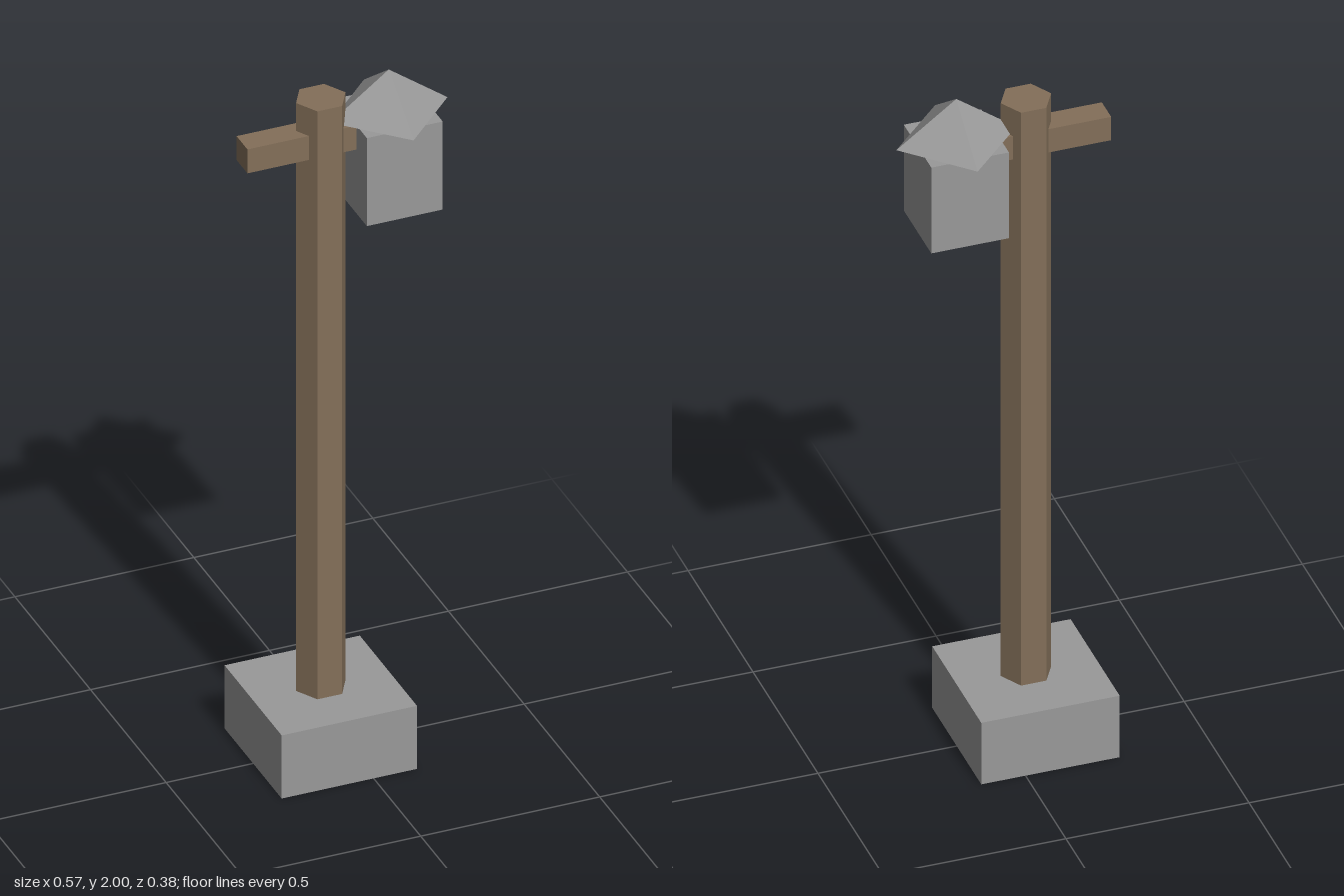
import * as THREE from 'three';

export function createModel() {
  const group = new THREE.Group();
  const stone = new THREE.MeshStandardMaterial({ color: 0x999999, flatShading: true });
  stone.name = 'stone grey';
  const wood = new THREE.MeshStandardMaterial({ color: 0x836f59, flatShading: true });
  wood.name = 'wood brown';

  const add = (name, geometry, material, x, y) => {
    const mesh = new THREE.Mesh(geometry, material);
    mesh.name = name;
    mesh.position.set(x, y, 0);
    group.add(mesh);
    return mesh;
  };

  const postX = -0.068;
  const lanternX = 0.122;

  // square foot block
  add('base', new THREE.BoxGeometry(0.378, 0.19, 0.378), stone, postX, 0.095);

  // hexagonal post with corners pointing left and right
  const post = add('post', new THREE.CylinderGeometry(0.069, 0.069, 1.77, 6), wood, postX, 1.075);
  post.rotation.y = Math.PI / 2;

  // crossbar through the post, ending inside the lantern
  add('crossbar', new THREE.BoxGeometry(0.44, 0.072, 0.072), wood, postX, 1.84);

  // lantern box and its pyramid roof, turned 45 degrees to the box
  add('lantern', new THREE.BoxGeometry(0.212, 0.265, 0.212), stone, lanternX, 1.745);
  add('lanternRoof', new THREE.ConeGeometry(0.164, 0.122, 4), stone, lanternX, 1.939);

  return group;
}
